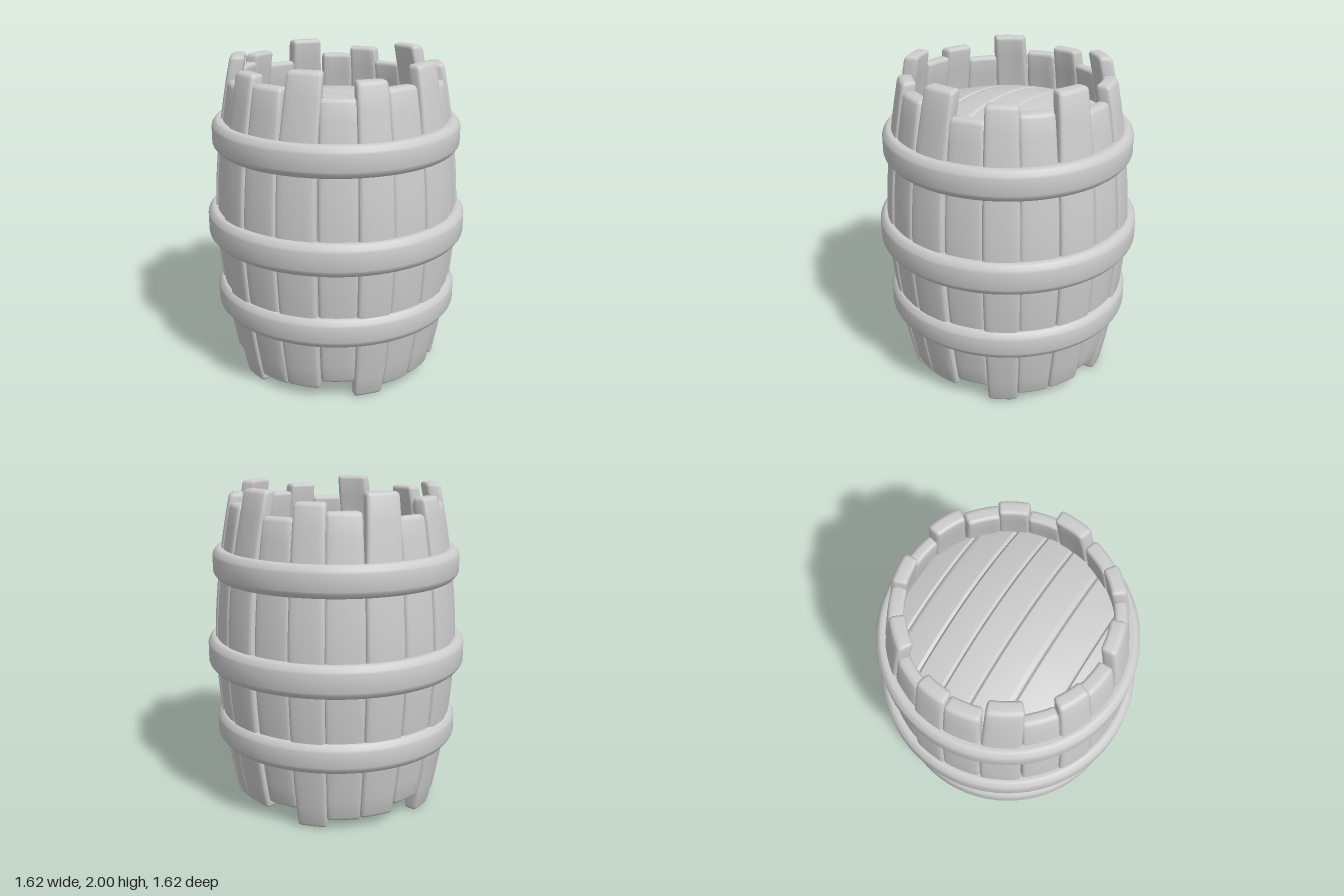
import * as THREE from 'three';
import { toCreasedNormals } from 'three/addons/utils/BufferGeometryUtils.js';

const grey = new THREE.MeshStandardMaterial({ color: 0xcccccc });
grey.name = 'light grey';

// outer radius of the bulging barrel at height y
const barrelRadius = (y) => 0.757 - 0.125 * Math.pow(Math.abs(y - 1), 1.75);

function addMesh(parent, geometry, name, crease = 0.7) {
  const mesh = new THREE.Mesh(toCreasedNormals(geometry, crease), grey);
  mesh.name = name;
  parent.add(mesh);
}

// move every vertex by a rule
function warp(geometry, rule) {
  const p = geometry.attributes.position;
  for (let i = 0; i < p.count; i++) p.setXYZ(i, ...rule(p.getX(i), p.getY(i), p.getZ(i)));
  return geometry;
}

// rounded rectangle with a few points along the long sides so that it can bend
function roundedRect(w, h, r) {
  const s = new THREE.Shape();
  const x = w / 2, y = h / 2;
  s.moveTo(-x + r, -y);
  for (const t of [-0.33, 0, 0.33]) s.lineTo(t * w * 0.7, -y);
  s.lineTo(x - r, -y);
  s.quadraticCurveTo(x, -y, x, -y + r);
  s.lineTo(x, y - r);
  s.quadraticCurveTo(x, y, x - r, y);
  for (const t of [0.33, 0, -0.33]) s.lineTo(t * w * 0.7, y);
  s.lineTo(-x + r, y);
  s.quadraticCurveTo(-x, y, -x, y - r);
  s.lineTo(-x, -y + r);
  s.quadraticCurveTo(-x, -y, -x + r, -y);
  return s;
}

// one stave: a rounded bar bent along and around the barrel
function staveGeometry({ angle, width, thick, bottom, top, out, lean }) {
  const bevel = 0.024;
  const bar = new THREE.ExtrudeGeometry(roundedRect(width, thick, 0.028), {
    depth: top - bottom - 2 * bevel, steps: 16, curveSegments: 4,
    bevelEnabled: true, bevelThickness: bevel, bevelSize: bevel, bevelOffset: -bevel, bevelSegments: 3,
  });
  return warp(bar, (x, y, z) => {
    const h = bottom + bevel + z;
    const r = barrelRadius(h) + out - thick / 2 + y;
    const a = angle + lean * Math.max(0, h - 1.5) - x / 0.757;
    return [Math.sin(a) * r, h, Math.cos(a) * r];
  });
}

// four stave kinds, repeated five times around the barrel
const STAVES = [
  { angle: 31.2, width: 0.252, thick: 0.09, bottom: 0.06, top: 2.0, out: 0.004, lean: 0.08 },
  { angle: 12.6, width: 0.246, thick: 0.09, bottom: 0.05, top: 1.9, out: 0, lean: 0 },
  { angle: -4.5, width: 0.222, thick: 0.09, bottom: 0.0, top: 1.95, out: 0.008, lean: 0 },
  { angle: -21.6, width: 0.246, thick: 0.075, bottom: 0.11, top: 1.86, out: -0.006, lean: 0 },
];

// hoop: closed band profile with chamfered corners
function hoopGeometry(y0, y1, r) {
  const inner = r - 0.12;
  const points = [
    [inner, y0 + 0.01], [r - 0.05, y0], [r - 0.03, y0 + 0.002], [r - 0.022, y0 + 0.008],
    [r - 0.004, y0 + 0.032], [r, y0 + 0.045], [r, y1 - 0.045], [r - 0.004, y1 - 0.032],
    [r - 0.022, y1 - 0.008], [r - 0.03, y1 - 0.002], [r - 0.05, y1], [inner, y1 - 0.01],
    [inner, y0 + 0.01],
  ].map(([x, y]) => new THREE.Vector2(x, y));
  return new THREE.LatheGeometry(points, 72);
}

// lid of parallel planks cut to a circle and domed upwards
function makeLid(name, direction) {
  const lid = new THREE.Group();
  lid.name = name;
  const R = 0.63, thick = 0.05, dome = 0.12;
  const cuts = [-0.625, -0.48, -0.273, -0.068, 0.105, 0.278, 0.47, 0.625];
  for (let i = 0; i < cuts.length - 1; i++) {
    const a = cuts[i], b = cuts[i + 1];
    const plank = warp(new THREE.BoxGeometry(1, 1, 1, 12, 1, 20), (x, y, z) => {
      const s = a + (x + 0.5) * (b - a);
      const t = 2 * z * Math.sqrt(R * R - s * s);
      const groove = Math.abs(x) > 0.49 ? 0.015 : 0;
      const h = dome * (1 - (s * s + t * t) / (R * R));
      return [s, h - groove + (y - 0.5) * thick, t];
    });
    addMesh(lid, plank, 'lidPlank');
  }
  lid.rotation.y = direction;
  return lid;
}

export function createModel() {
  const barrel = new THREE.Group();
  barrel.name = 'barrel';

  const staves = new THREE.Group();
  staves.name = 'staves';
  barrel.add(staves);
  for (let k = 0; k < 5; k++) {
    for (const kind of STAVES) {
      const angle = THREE.MathUtils.degToRad(kind.angle - 72 * k);
      addMesh(staves, staveGeometry({ ...kind, angle }), 'stave');
    }
  }

  addMesh(barrel, hoopGeometry(0.4, 0.585, 0.765), 'lowerHoop');
  addMesh(barrel, hoopGeometry(0.87, 1.07, 0.81), 'middleHoop');
  addMesh(barrel, hoopGeometry(1.435, 1.625, 0.765), 'upperHoop');

  const topLid = makeLid('topLid', 0.68);
  topLid.position.y = 1.65;
  barrel.add(topLid);

  // the bottom lid is the same lid turned over
  const bottomLid = new THREE.Group();
  bottomLid.name = 'bottomLid';
  bottomLid.add(makeLid('bottomPlanks', -0.1));
  bottomLid.rotation.x = Math.PI;
  bottomLid.position.y = 0.29;
  barrel.add(bottomLid);

  return barrel;
}
